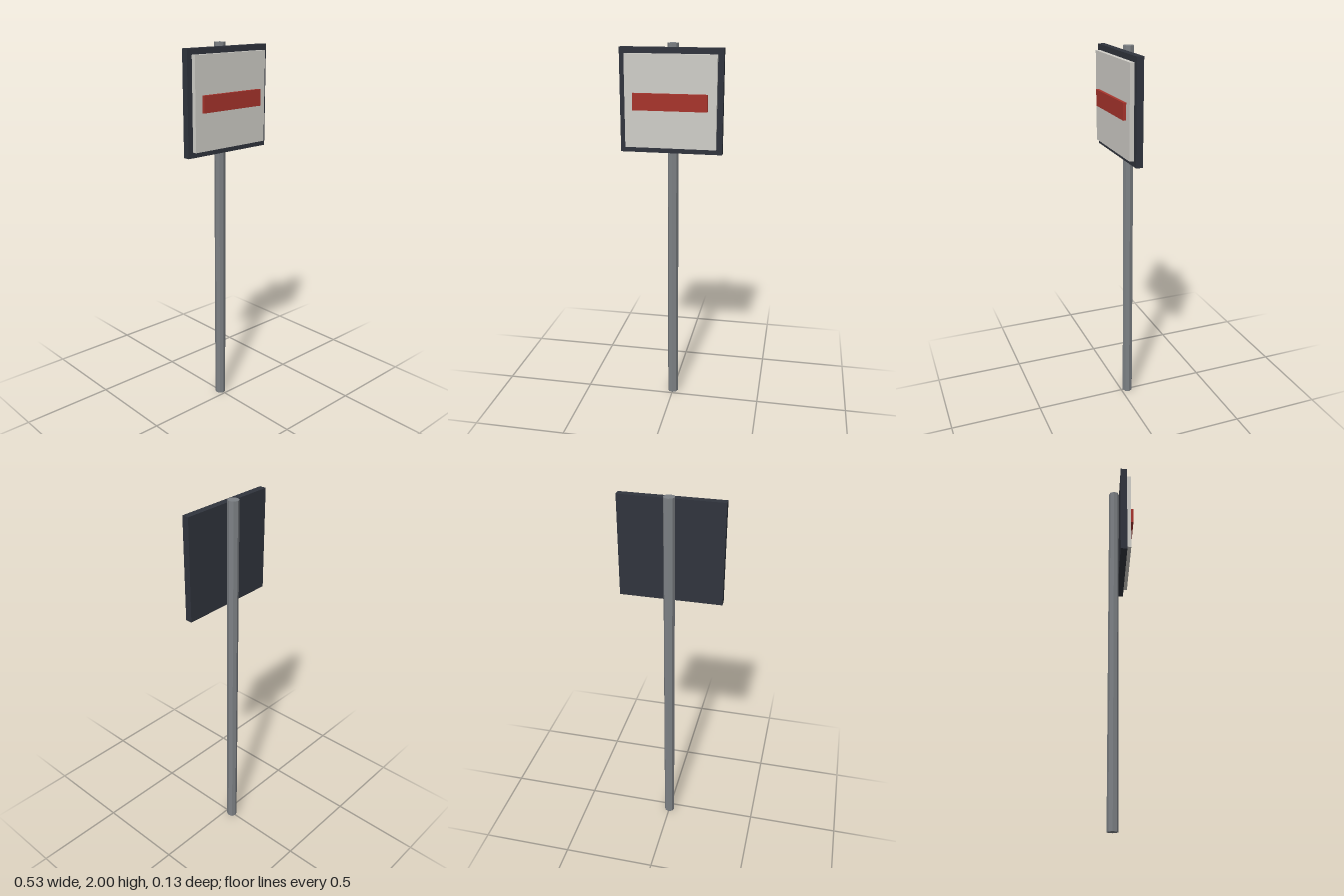
import * as THREE from 'three';

const SIGN_Y = 1.715; // height of the sign's centre

function part(name, geometry, color, x, y, z) {
  const material = new THREE.MeshStandardMaterial({ color });
  material.flatShading = true;
  const mesh = new THREE.Mesh(geometry, material);
  mesh.name = name;
  mesh.position.set(x, y, z);
  return mesh;
}

// Flat plate centred on the sign, spanning zBack to zFront
function plate(name, width, height, zBack, zFront, color) {
  const geometry = new THREE.BoxGeometry(width, height, zFront - zBack);
  return part(name, geometry, color, 0, SIGN_Y, (zBack + zFront) / 2);
}

export function createModel() {
  const model = new THREE.Group();
  model.name = 'signPost';

  // Eight-sided pole, standing just behind the sign
  model.add(part('pole', new THREE.CylinderGeometry(0.029, 0.029, 2, 8), 0x7d8185, 0, 1, -0.038));

  // Sign: dark backing, pale face and red bar, stacked towards the front
  const sign = new THREE.Group();
  sign.name = 'sign';
  sign.add(
    plate('backingBoard', 0.533, 0.533, -0.009, 0.027, 0x30343d),
    plate('facePanel', 0.474, 0.474, 0.027, 0.05, 0xd0cec8),
    plate('redBar', 0.385, 0.086, 0.05, 0.066, 0xa8342c),
  );
  model.add(sign);

  return model;
}
